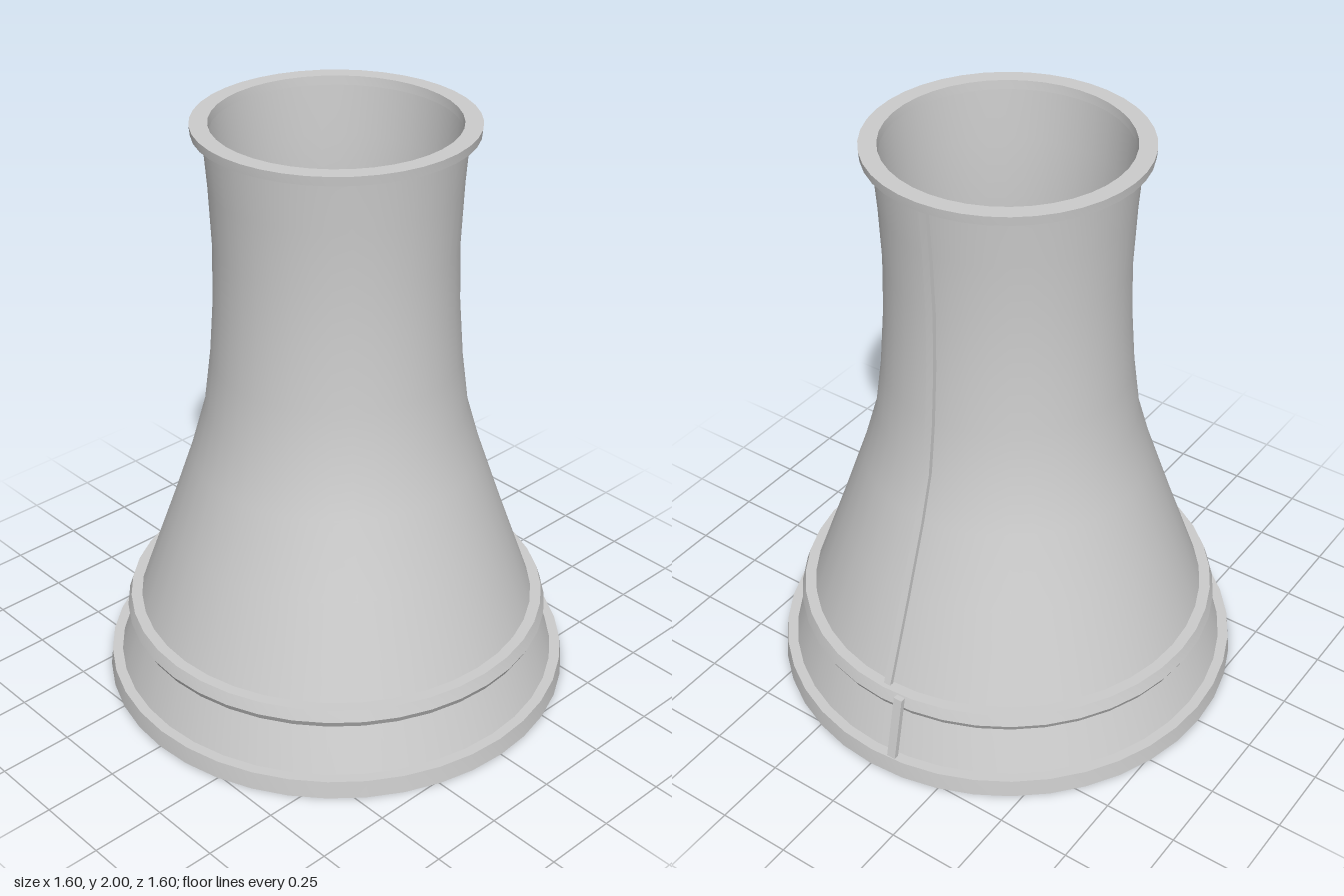
import * as THREE from 'three';
import { toCreasedNormals } from 'three/addons/utils/BufferGeometryUtils.js';

const material = new THREE.MeshStandardMaterial({ color: 0xcccccc });

// Height and outer radius of the flared shell, from ground to mouth
const SHELL = [
  [0.05, 0.762], [0.29, 0.678], [0.6, 0.568], [0.85, 0.483], [1.02, 0.435],
  [1.2, 0.412], [1.4, 0.397], [1.6, 0.392], [1.8, 0.4], [1.98, 0.413],
];

function add(group, name, geometry, crease = 0.6) {
  const mesh = new THREE.Mesh(toCreasedNormals(geometry, crease), material);
  mesh.name = name;
  group.add(mesh);
  return mesh;
}

// Closed profile of [radius, height] points, counter-clockwise, spun around y
function addRing(group, name, profile) {
  const points = [...profile, profile[0]].map(([r, y]) => new THREE.Vector2(r, y));
  return add(group, name, new THREE.LatheGeometry(points, 40));
}

// Flat bar on the +x side following [height, radius] points
function addBar(group, name, path, z, width, depth) {
  const shape = new THREE.Shape();
  path.forEach(([y, r], i) => (i ? shape.lineTo(r, y) : shape.moveTo(r, y)));
  [...path].reverse().forEach(([y, r]) => shape.lineTo(r + depth, y));
  shape.closePath();
  const geometry = new THREE.ExtrudeGeometry(shape, { depth: width, bevelEnabled: false });
  geometry.translate(0, 0, z - width / 2);
  return add(group, name, geometry);
}

export function createModel() {
  const tower = new THREE.Group();
  tower.name = 'coolingTower';

  // Thin hollow shell
  addRing(tower, 'shell', [
    ...SHELL.map(([y, r]) => [r, y]),
    ...[...SHELL].reverse().map(([y, r]) => [r - 0.016, y]),
  ]);

  // Floor slab with a wide round opening
  addRing(tower, 'baseSlab', [[0.5, 0], [0.8, 0], [0.793, 0.062], [0.5, 0.062]]);

  // Walkway collar above the skirt
  addRing(tower, 'collar', [
    [0.665, 0.225], [0.715, 0.225], [0.728, 0.25], [0.715, 0.29], [0.665, 0.29],
  ]);

  // Lip around the mouth
  addRing(tower, 'mouthRim', [[0.39, 1.97], [0.447, 1.97], [0.45, 2], [0.393, 2]]);

  // Ladder strips up the side, with the lower flight offset to the back
  addBar(tower, 'upperLadder', SHELL.slice(1).map(([y, r]) => [y, r + 0.004]), -0.003, 0.026, 0.016);
  addBar(tower, 'lowerLadder', [[0.06, 0.766], [0.29, 0.716]], -0.075, 0.032, 0.018);

  return tower;
}
